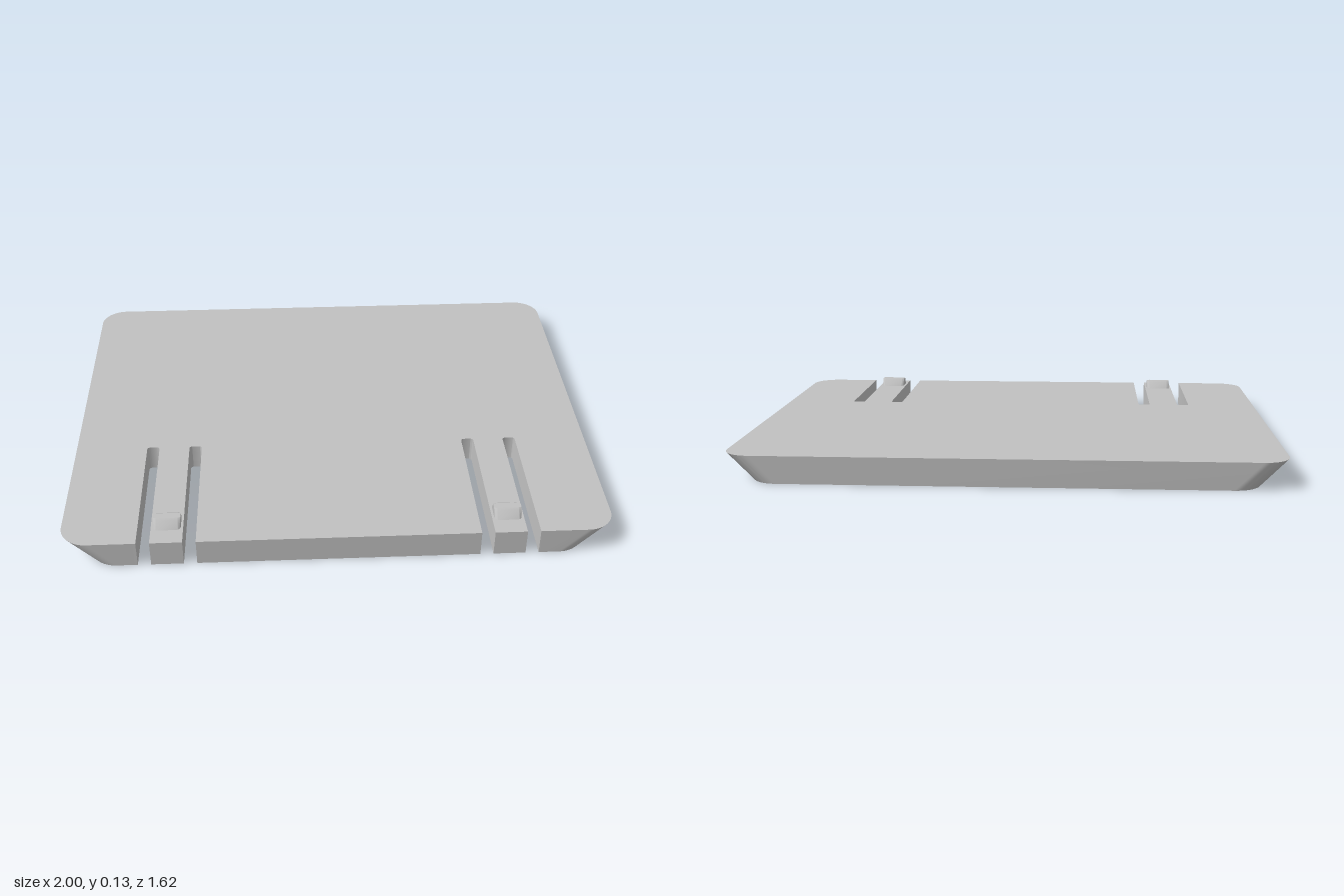
import * as THREE from 'three';
import { mergeGeometries, toCreasedNormals } from 'three/addons/utils/BufferGeometryUtils.js';

const H = 0.1, D = 0.81, R = 0.1, SLOPE = 0.1, GROOVE = 0.03;

// Plan shapes use (x, -z).
function roundedRect(cx, cy, w, h, r) {
  const s = new THREE.Shape(), a = w / 2 - r, b = h / 2 - r;
  s.absarc(cx + a, cy - b, r, -Math.PI / 2, 0);
  s.absarc(cx + a, cy + b, r, 0, Math.PI / 2);
  s.absarc(cx - a, cy + b, r, Math.PI / 2, Math.PI);
  s.absarc(cx - a, cy - b, r, Math.PI, Math.PI * 1.5);
  s.closePath();
  return s;
}

function planPoints(shape) {
  const p = shape.getPoints(10).filter((v, i, a) => i === 0 || v.distanceTo(a[i - 1]) > 1e-5);
  if (p[0].distanceTo(p[p.length - 1]) < 1e-5) p.pop();
  return p;
}

// Flat horizontal face looking up or down.
function cap(pts, y, up, holes = []) {
  const turn = (list) => list.map((p) => new THREE.Vector2(p.x, up ? p.y : -p.y));
  const s = new THREE.Shape(turn(pts));
  s.holes = holes.map((h) => new THREE.Path(turn(h)));
  return new THREE.ShapeGeometry(s).rotateX(up ? -Math.PI / 2 : Math.PI / 2).translate(0, y, 0).toNonIndexed();
}

// Wall between two matching loops; counter-clockwise loops face outward.
function wall(low, y0, high, y1) {
  const pos = [], uv = [];
  low.forEach((a, i) => {
    const j = (i + 1) % low.length, b = low[j], c = high[j], d = high[i];
    for (const [p, y] of [[a, y0], [b, y0], [c, y1], [a, y0], [c, y1], [d, y1]]) {
      pos.push(p.x, y, -p.y);
      uv.push(0, 0);
    }
  });
  const g = new THREE.BufferGeometry();
  g.setAttribute('position', new THREE.Float32BufferAttribute(pos, 3));
  g.setAttribute('uv', new THREE.Float32BufferAttribute(uv, 2));
  g.computeVertexNormals();
  return g;
}

function plateGeometry() {
  // Outline with two pairs of slots open to the front edge
  const s = new THREE.Shape(), e = -0.245, r = 0.012;
  s.moveTo(-1 + R, -D);
  for (const [a, b] of [[-0.725, -0.677], [-0.56, -0.512], [0.512, 0.56], [0.677, 0.725]]) {
    s.lineTo(a, -D);
    s.lineTo(a, e - r);
    s.absarc(a + r, e - r, r, Math.PI, Math.PI / 2, true);
    s.absarc(b - r, e - r, r, Math.PI / 2, 0, true);
    s.lineTo(b, -D);
  }
  s.absarc(1 - R, -D + R, R, -Math.PI / 2, 0);
  s.absarc(1 - R, D - R, R, 0, Math.PI / 2);
  s.absarc(-1 + R, D - R, R, Math.PI / 2, Math.PI);
  s.absarc(-1 + R, -D + R, R, Math.PI, Math.PI * 1.5);
  const top = planPoints(s);
  // The side edges lean inward toward the bottom
  const bottom = top.map((p) => new THREE.Vector2(p.x - (Math.abs(p.x) > 0.8 ? Math.sign(p.x) * SLOPE : 0), p.y));

  // Three grip grooves in the underside
  const grooves = [-0.66, -0.548, -0.436].map((z) => planPoints(roundedRect(0, -z, 1.42, 0.048, 0.02)));
  const parts = [cap(top, H, true), cap(bottom, 0, false, grooves), wall(bottom, 0, top, H)];
  for (const g of grooves) {
    const inward = [...g].reverse();
    parts.push(wall(inward, 0, inward, GROOVE), cap(g, GROOVE, false));
  }
  return toCreasedNormals(mergeGeometries(parts), 0.5);
}

// Small bevelled catch, rounded in plan
function catchGeometry() {
  const ring = (z, d, w, r) => planPoints(roundedRect(0, -z, w, d, r));
  const base = ring(0.697, 0.09, 0.1, 0.018);
  // Squeeze the loop front to back so the ends stay vertical
  const squeeze = (k) => base.map((p) => new THREE.Vector2(p.x, -0.697 + (p.y + 0.697) * k));
  const mid = squeeze(0.48), top = squeeze(0.3);
  return toCreasedNormals(mergeGeometries([
    wall(base, H, mid, 0.126), wall(mid, 0.126, top, 0.131), cap(top, 0.131, true),
  ]), 0.5);
}

export function createModel() {
  const model = new THREE.Group();
  model.name = 'slidingCover';
  const grey = new THREE.MeshStandardMaterial({ color: 0xc0c0c0 });
  grey.name = 'lightGrey';

  const plate = new THREE.Mesh(plateGeometry(), grey);
  plate.name = 'coverPlate';
  model.add(plate);

  // One catch on each spring tongue
  const geometry = catchGeometry();
  for (const side of [-1, 1]) {
    const bump = new THREE.Mesh(geometry, grey);
    bump.name = side > 0 ? 'leftCatch' : 'rightCatch';
    bump.position.x = side * 0.6185;
    model.add(bump);
  }
  return model;
}
